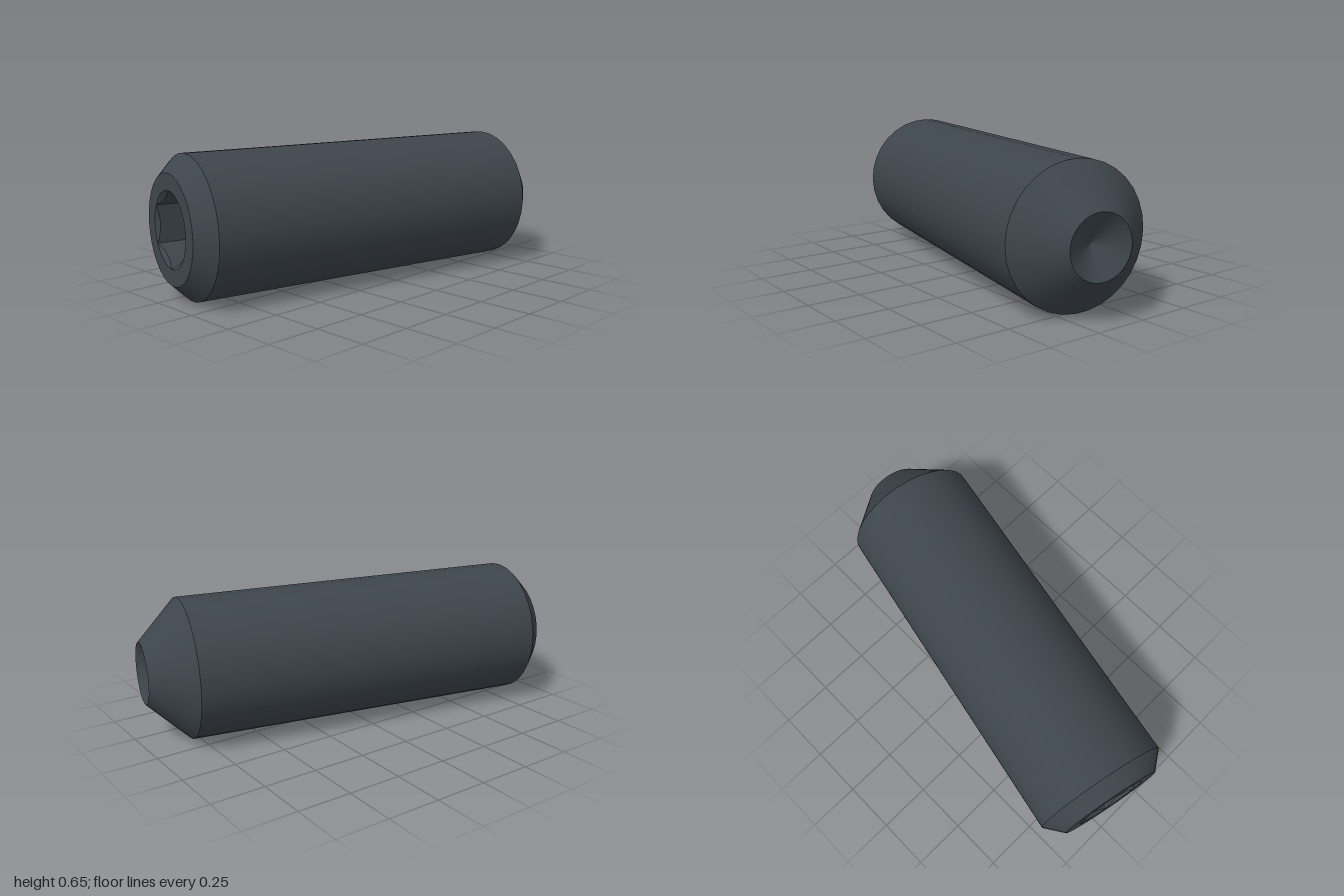
import * as THREE from 'three';

const SIDES = 32;
const R = 0.327;          // body radius
const HALF = 0.98;        // half of the length along the axis
const FACE_R = 0.248;     // flat face of the driven end
const TIP_R = 0.143;      // rim of the cup point
const SOCKET_R = 0.172;   // corner radius of the hex socket
const SOCKET_DEPTH = 0.4;

const polar = (angle, r, y) => new THREE.Vector3(Math.cos(angle) * r, y, Math.sin(angle) * r);

// Angles around the socket mouth, eight steps per flat
const STEPS = 48;
const mouthAngle = i => (i / STEPS) * Math.PI * 2;

// Flat annular face around the socket
function endFaceGeometry() {
  const ring = (r, n) => Array.from({ length: n }, (_, i) => {
    const a = (i / n) * Math.PI * 2;
    return new THREE.Vector2(Math.cos(a) * r, Math.sin(a) * r);
  });
  const shape = new THREE.Shape(ring(FACE_R, SIDES));
  shape.holes.push(new THREE.Path(ring(SOCKET_R, STEPS)));
  return new THREE.ShapeGeometry(shape).rotateX(Math.PI / 2).translate(0, -HALF, 0);
}

// Countersink, six flat walls and a shallow drilled bottom
function socketGeometry() {
  const sector = Math.PI / 3;
  const apothem = SOCKET_R * Math.cos(sector / 2);
  const points = [];
  const centre = new THREE.Vector3(0, -HALF + SOCKET_DEPTH + 0.05, 0);
  const column = (i, k) => {
    const a = mouthAngle(i);
    const r = apothem / Math.cos(a - (k + 0.5) * sector);
    return [
      polar(a, SOCKET_R, -HALF),
      polar(a, r, -HALF + (SOCKET_R - r) * 0.7),
      polar(a, r, -HALF + SOCKET_DEPTH),
    ];
  };
  for (let i = 0; i < STEPS; i++) {
    const k = Math.floor(i / 8);
    const p = column(i, k), q = column(i + 1, k);
    for (let j = 0; j < 2; j++) points.push(p[j], q[j], q[j + 1], p[j], q[j + 1], p[j + 1]);
    points.push(centre, p[2], q[2]);
  }
  const geometry = new THREE.BufferGeometry().setFromPoints(points);
  geometry.computeVertexNormals();
  return geometry;
}

export function createModel() {
  const steel = new THREE.MeshStandardMaterial({ color: 0x3d454c });
  steel.name = 'dark steel';

  const screw = new THREE.Group();
  screw.name = 'setScrew';
  const add = (name, geometry) => {
    const mesh = new THREE.Mesh(geometry, steel);
    mesh.name = name;
    screw.add(mesh);
  };

  // Turned sections, each [name, radius, y, radius, y], kept apart for crisp edges
  const sections = [
    ['rearChamfer', FACE_R, -HALF, R, -HALF + 0.081],
    ['shank', R, -HALF + 0.081, R, HALF - 0.186],
    ['pointCone', R, HALF - 0.186, TIP_R, HALF],
    ['cupRecess', TIP_R, HALF, 0, HALF - 0.083],
  ];
  for (const [name, r0, y0, r1, y1] of sections) {
    add(name, new THREE.LatheGeometry([new THREE.Vector2(r0, y0), new THREE.Vector2(r1, y1)], SIDES));
  }
  add('rearFace', endFaceGeometry());
  add('hexSocket', socketGeometry());

  // Lay the axis down along x, then swing the point toward the front
  screw.rotation.z = -Math.PI / 2;
  const model = new THREE.Group();
  model.name = 'socketSetScrew';
  const swing = new THREE.Group();
  swing.name = 'screwPlacement';
  swing.rotation.y = -0.207;
  swing.position.set(0, R, 0.004);
  swing.add(screw);
  model.add(swing);
  return model;
}
